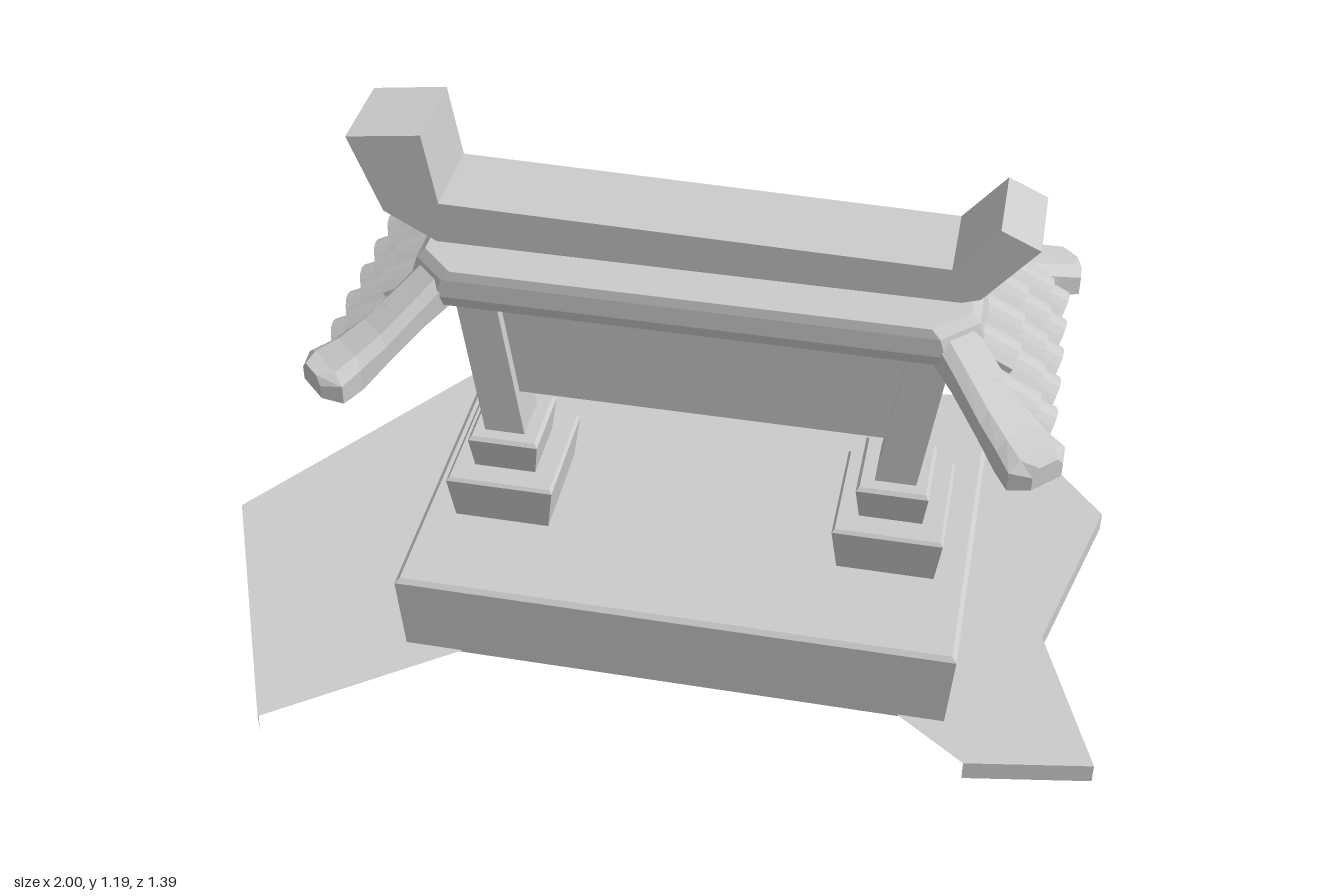
import * as THREE from 'three';

const material = new THREE.MeshStandardMaterial({ color: 0xcccccc, flatShading: true, side: THREE.DoubleSide });

function addMesh(parent, name, geometry, x = 0, y = 0, z = 0) {
  const mesh = new THREE.Mesh(geometry, material);
  mesh.name = name;
  mesh.position.set(x, y, z);
  parent.add(mesh);
  return mesh;
}

// Skin of quads through equal rings of [x, y, z] points, with optional end caps
function loft(rings, capStart = true, capEnd = true) {
  const out = [];
  const tri = (a, b, c) => out.push(...a, ...b, ...c);
  const n = rings[0].length;
  for (let r = 0; r < rings.length - 1; r++) {
    for (let i = 0; i < n; i++) {
      const j = (i + 1) % n, a = rings[r], b = rings[r + 1];
      tri(a[i], a[j], b[j]);
      tri(a[i], b[j], b[i]);
    }
  }
  const first = rings[0], last = rings[rings.length - 1];
  for (let i = 1; i < n - 1; i++) {
    if (capStart) tri(first[0], first[i + 1], first[i]);
    if (capEnd) tri(last[0], last[i], last[i + 1]);
  }
  const geometry = new THREE.BufferGeometry();
  geometry.setAttribute('position', new THREE.Float32BufferAttribute(out, 3));
  geometry.computeVertexNormals();
  return geometry;
}

// Horizontal rectangle, optionally with cut corners
function rectRing(y, hx, hz, cut = 0, cx = 0) {
  const points = cut
    ? [[hx, hz - cut], [hx, cut - hz], [hx - cut, -hz], [cut - hx, -hz],
      [-hx, cut - hz], [-hx, hz - cut], [cut - hx, hz], [hx - cut, hz]]
    : [[hx, hz], [hx, -hz], [-hx, -hz], [-hx, hz]];
  return points.map(([x, z]) => [x + cx, y, z]);
}

function shapeOf(points) {
  return new THREE.Shape(points.map(([x, y]) => new THREE.Vector2(x, y)));
}

// Irregular ground sheet with a skirt, open under the front notch
function addGround(parent) {
  const outline = [[0.105, 0.07], [0.735, 0.525], [1, 0.48], [0.87, 0.125], [0.98, -0.31], [0.66, -0.7],
    [0.28, -0.63], [-0.1, -0.42], [-0.6, -0.53], [-1, 0.06], [-0.735, 0.69]];
  const top = new THREE.ShapeGeometry(shapeOf(outline.map(([x, z]) => [x, -z])));
  top.rotateX(-Math.PI / 2);
  addMesh(parent, 'groundTop', top, 0, 0.045, 0);

  const pos = [];
  for (let i = 1; i < outline.length - 1; i++) {
    const [ax, az] = outline[i], [bx, bz] = outline[i + 1], h = 0.045;
    pos.push(ax, 0, az, bx, 0, bz, bx, h, bz, ax, 0, az, bx, h, bz, ax, h, az);
  }
  const skirt = new THREE.BufferGeometry();
  skirt.setAttribute('position', new THREE.Float32BufferAttribute(pos, 3));
  skirt.computeVertexNormals();
  addMesh(parent, 'groundSkirt', skirt);
}

// Three overlapping rows of arched tiles on one slope, facing local +z
function addTileSlope(parent, name, angle, edge, pitch, counts) {
  const slope = new THREE.Group();
  slope.name = name;
  slope.rotation.y = angle;
  const rows = [[-0.04, 0.878, 0.06, 0.826], [0.015, 0.832, 0.11, 0.782], [0.065, 0.79, 0.145, 0.75]];
  const arch = [];
  const steps = 6, rise = 0.026, thick = 0.012;
  for (let i = 0; i <= steps; i++) {
    const t = i / steps;
    arch.push([(t - 0.5) * pitch, rise * Math.sin(Math.PI * t) + thick]);
  }
  const section = shapeOf([...arch].reverse().concat(arch.map(([x, y]) => [x, y - thick])));
  rows.forEach(([d0, y0, d1, y1], r) => {
    const length = Math.hypot(d1 - d0, y1 - y0);
    const tile = new THREE.ExtrudeGeometry(section, { depth: length, bevelEnabled: false });
    tile.rotateX(Math.atan2(y0 - y1, d1 - d0));
    for (let c = 0; c < counts[r]; c++) {
      addMesh(slope, 'roofTile', tile, (c - (counts[r] - 1) / 2) * pitch, y0, edge + d0);
    }
  });
  parent.add(slope);
}

export function createModel() {
  const model = new THREE.Group();
  model.name = 'gate';
  addGround(model);

  const gate = new THREE.Group();
  gate.name = 'gateStructure';
  gate.position.set(0.097, 0, 0.067);
  model.add(gate);

  // Hollow plinth, open below
  addMesh(gate, 'plinth', loft([
    rectRing(0.04, 0.587, 0.349), rectRing(0.224, 0.6, 0.355), rectRing(0.234, 0.59, 0.346),
  ], false, true));

  // Stepped feet and leaning columns
  for (const s of [-1, 1]) {
    const x = s * 0.423;
    addMesh(gate, 'lowerFoot', loft([
      rectRing(0.23, 0.104, 0.123), rectRing(0.338, 0.118, 0.136), rectRing(0.345, 0.112, 0.13),
    ]), x);
    addMesh(gate, 'upperFoot', loft([
      rectRing(0.34, 0.067, 0.077), rectRing(0.422, 0.077, 0.09), rectRing(0.43, 0.07, 0.083),
    ]), x);
    addMesh(gate, 'column', loft([
      rectRing(0.425, 0.044, 0.056, 0, s * 0.425), rectRing(0.875, 0.044, 0.056, 0, s * 0.488),
    ]));
  }

  // Panel hung between the columns
  const panel = new THREE.ExtrudeGeometry(
    shapeOf([[-0.42, 0.527], [0.42, 0.527], [0.46, 0.826], [-0.46, 0.826]]),
    { depth: 0.06, bevelEnabled: false });
  addMesh(gate, 'panel', panel, 0, 0, -0.03);

  // Roof cap with cut corners
  addMesh(gate, 'roofCap', loft([
    rectRing(0.862, 0.57, 0.195, 0.07), rectRing(0.885, 0.58, 0.2, 0.07),
    rectRing(0.925, 0.568, 0.198, 0.07), rectRing(0.945, 0.55, 0.194, 0.07),
  ]));

  // Tiles on the back and both ends
  addTileSlope(gate, 'backTiles', Math.PI, 0.2, 0.104, [11, 11, 11]);
  addTileSlope(gate, 'leftTiles', Math.PI / 2, 0.575, 0.098, [3, 5, 5]);
  addTileSlope(gate, 'rightTiles', -Math.PI / 2, 0.575, 0.098, [3, 5, 5]);

  // Hip ridges sweeping out to the four corners: distance, top, bottom, half width
  const stations = [[-0.03, 0.94, 0.865, 0.05], [0.05, 0.888, 0.825, 0.05], [0.14, 0.832, 0.773, 0.055],
    [0.2, 0.805, 0.737, 0.06], [0.25, 0.79, 0.73, 0.071], [0.282, 0.785, 0.737, 0.038]];
  const hip = loft(stations.map(([d, top, bottom, w]) => [
    [w, bottom, d], [w, top - 0.018, d], [w * 0.6, top, d],
    [-w * 0.6, top, d], [-w, top - 0.018, d], [-w, bottom, d],
  ]));
  for (const sx of [-1, 1]) {
    for (const sz of [-1, 1]) {
      addMesh(gate, 'hipRidge', hip, sx * 0.53, 0, sz * 0.157).rotation.y = Math.atan2(sx, sz);
    }
  }

  // Crowning beam with uneven upturned ends
  const beam = new THREE.ExtrudeGeometry(shapeOf([
    [-0.435, 0.944], [0.62, 0.944], [0.66, 0.957], [0.765, 1.086], [0.685, 1.123], [0.6, 1.02],
    [-0.428, 1.037], [-0.455, 1.193], [-0.61, 1.172], [-0.545, 1.005],
  ]), { depth: 0.19, bevelEnabled: false });
  addMesh(model, 'crownBeam', beam, 0, 0, -0.027);

  return model;
}
